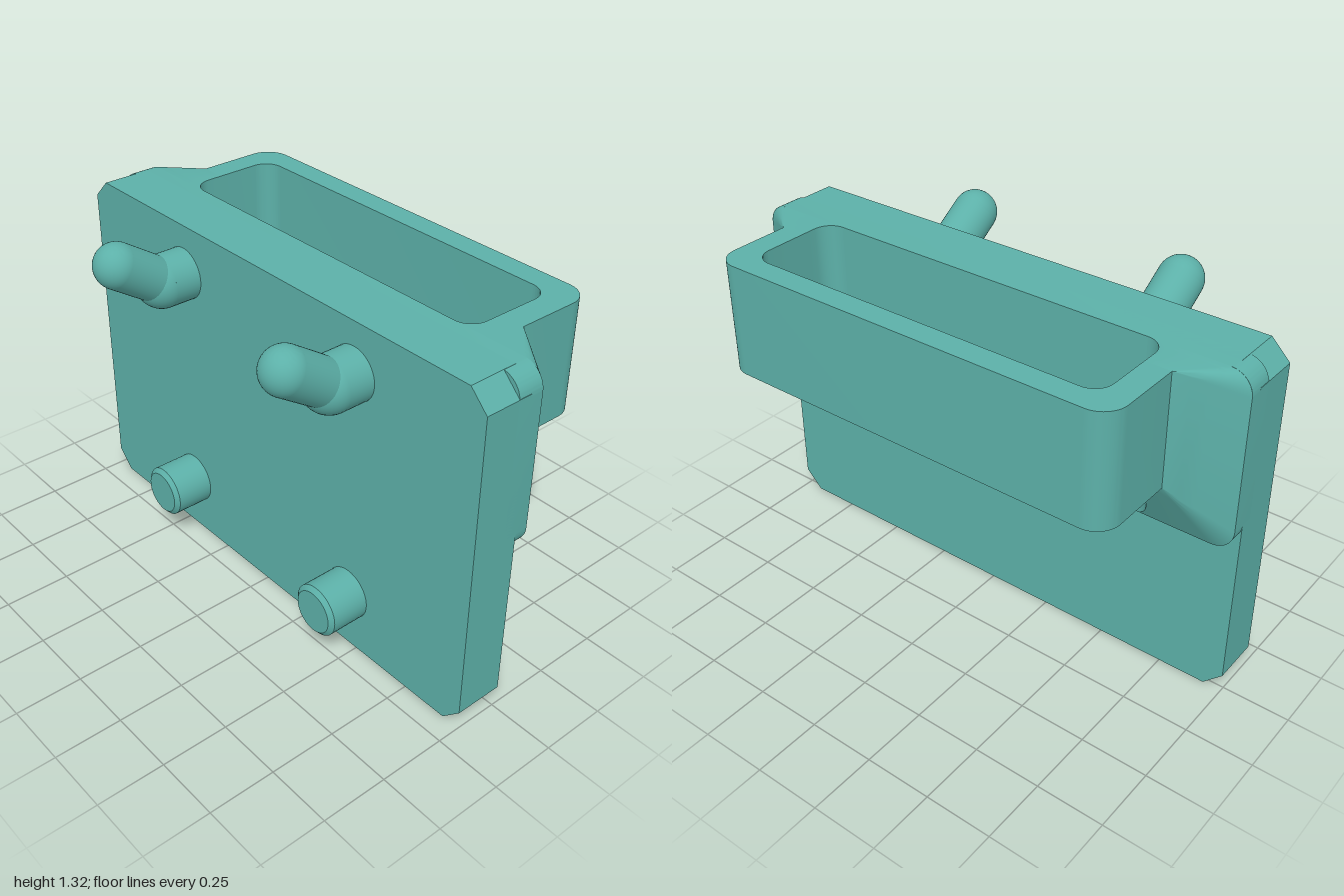
import * as THREE from 'three';
import { toCreasedNormals } from 'three/addons/utils/BufferGeometryUtils.js';

const material = new THREE.MeshStandardMaterial({ color: 0x5cb0a8 });
const TOP = 1.305;
const PAD_BACK = -0.07, ARM_START = -0.2, RING_BACK = -0.52;

function part(name, geometry) {
  const mesh = new THREE.Mesh(toCreasedNormals(geometry, 0.5), material);
  mesh.name = name;
  return mesh;
}

function extrude(shape, depth) {
  return new THREE.ExtrudeGeometry(shape, { depth, bevelEnabled: false, curveSegments: 10 });
}

// Front plate with chamfered corners
function plate() {
  const c = 0.07;
  const points = [[-1 + c, 0], [1 - c, 0], [1, c], [1, TOP - c], [1 - c, TOP], [-1 + c, TOP], [-1, TOP - c], [-1, c]];
  const shape = new THREE.Shape(points.map(([x, y]) => new THREE.Vector2(x, y)));
  return part('plate', extrude(shape, 0.185).translate(0, 0, -0.02));
}

// Rounded backing pad, partly sunk into the plate
function pad() {
  const r = 0.08, b = 0.645;
  const s = new THREE.Shape();
  s.absarc(1 - r, b + r, r, -Math.PI / 2, 0);
  s.absarc(1 - r, TOP - r, r, 0, Math.PI / 2);
  s.absarc(-1 + r, TOP - r, r, Math.PI / 2, Math.PI);
  s.absarc(-1 + r, b + r, r, Math.PI, Math.PI * 1.5);
  return part('backPad', extrude(s, 0.1).translate(0, 0, PAD_BACK));
}

// U-shaped loop behind the pad, drawn in plan and raised along y
function ring() {
  const near = -ARM_START, far = -RING_BACK, inner = 0.43;
  const s = new THREE.Shape();
  s.moveTo(0.705, near);
  s.lineTo(0.8, near);
  s.absarc(0.71, far - 0.09, 0.09, 0, Math.PI / 2);
  s.absarc(-0.71, far - 0.09, 0.09, Math.PI / 2, Math.PI);
  s.lineTo(-0.8, near);
  s.lineTo(-0.705, near);
  s.absarc(-0.635, inner - 0.07, 0.07, Math.PI, Math.PI / 2, true);
  s.absarc(0.635, inner - 0.07, 0.07, Math.PI / 2, 0, true);
  s.closePath();
  return part('holderLoop', extrude(s, TOP - 0.885).rotateX(-Math.PI / 2).translate(0, 0.885, 0));
}

// Tapered side wall: sections along z shrink from the pad outline to the loop arm
function gusset(side) {
  const fillet = 0.07, length = PAD_BACK - ARM_START, arcSteps = 6;
  const depths = [];
  for (let i = 0; i <= 10; i++) depths.push(fillet * (1 - Math.cos(i / 10 * Math.PI / 2)));
  depths.push(0.1, length);

  const positions = [], index = [];
  let count = 0;
  for (const d of depths) {
    const t = d / length;
    const w = 1 - 0.2 * t, b = 0.645 + 0.24 * t, r = Math.max(0.08 * (1 - t), 0.001);
    const inside = d < fillet ? 0.635 + Math.sqrt(fillet ** 2 - (fillet - d) ** 2) : 0.705;
    const loop = [[inside, b]];
    for (const [cy, start] of [[b + r, -Math.PI / 2], [TOP - r, 0]]) {
      for (let i = 0; i <= arcSteps; i++) {
        const a = start + i / arcSteps * Math.PI / 2;
        loop.push([w - r + r * Math.cos(a), cy + r * Math.sin(a)]);
      }
    }
    loop.push([inside, TOP]);
    count = loop.length;
    for (const [x, y] of loop) positions.push(side * x, y, PAD_BACK - d);
  }
  for (let k = 0; k < depths.length - 1; k++) {
    for (let i = 0; i < count; i++) {
      const a = k * count + i, b = k * count + (i + 1) % count;
      const c = a + count, d = b + count;
      if (side > 0) index.push(a, c, b, b, c, d);
      else index.push(a, b, c, b, d, c);
    }
  }
  const g = new THREE.BufferGeometry();
  g.setAttribute('position', new THREE.Float32BufferAttribute(positions, 3));
  g.setIndex(index);
  return part(side > 0 ? 'leftGusset' : 'rightGusset', g);
}

// Short locating peg with a chamfered tip
function lowerPeg(x) {
  const profile = [[0, 0], [0.097, 0], [0.097, 0.165], [0.08, 0.18], [0, 0.18]].map(([r, h]) => new THREE.Vector2(r, h));
  const g = new THREE.LatheGeometry(profile, 40).rotateX(Math.PI / 2).translate(x, 0.225, 0.145);
  return part('lowerPeg', g);
}

// Hooked peg: straight stub, round elbow, raised arm with a ball end
function upperHook(x) {
  const hook = new THREE.Group();
  hook.name = 'upperHook';
  const elbow = new THREE.Vector3(x, 1.12, 0.265), tip = new THREE.Vector3(x, 1.237, 0.441);
  const dir = tip.clone().sub(elbow);
  const stub = new THREE.CylinderGeometry(0.097, 0.097, 0.12, 40).rotateX(Math.PI / 2).translate(x, 1.12, 0.205);
  const joint = new THREE.SphereGeometry(0.097, 40, 24).translate(...elbow);
  const arm = new THREE.CylinderGeometry(0.083, 0.083, dir.length(), 40, 1, true)
    .rotateX(Math.atan2(dir.z, dir.y))
    .translate(...elbow.clone().add(tip).multiplyScalar(0.5));
  const ball = new THREE.SphereGeometry(0.083, 40, 24).translate(...tip);
  hook.add(part('hookStub', stub), part('hookElbow', joint), part('hookArm', arm), part('hookTip', ball));
  return hook;
}

export function createModel() {
  const model = new THREE.Group();
  model.name = 'wallHolder';
  model.add(plate(), pad(), ring());
  for (const side of [-1, 1]) {
    model.add(gusset(side), lowerPeg(side * 0.447), upperHook(side * 0.447));
  }
  return model;
}
